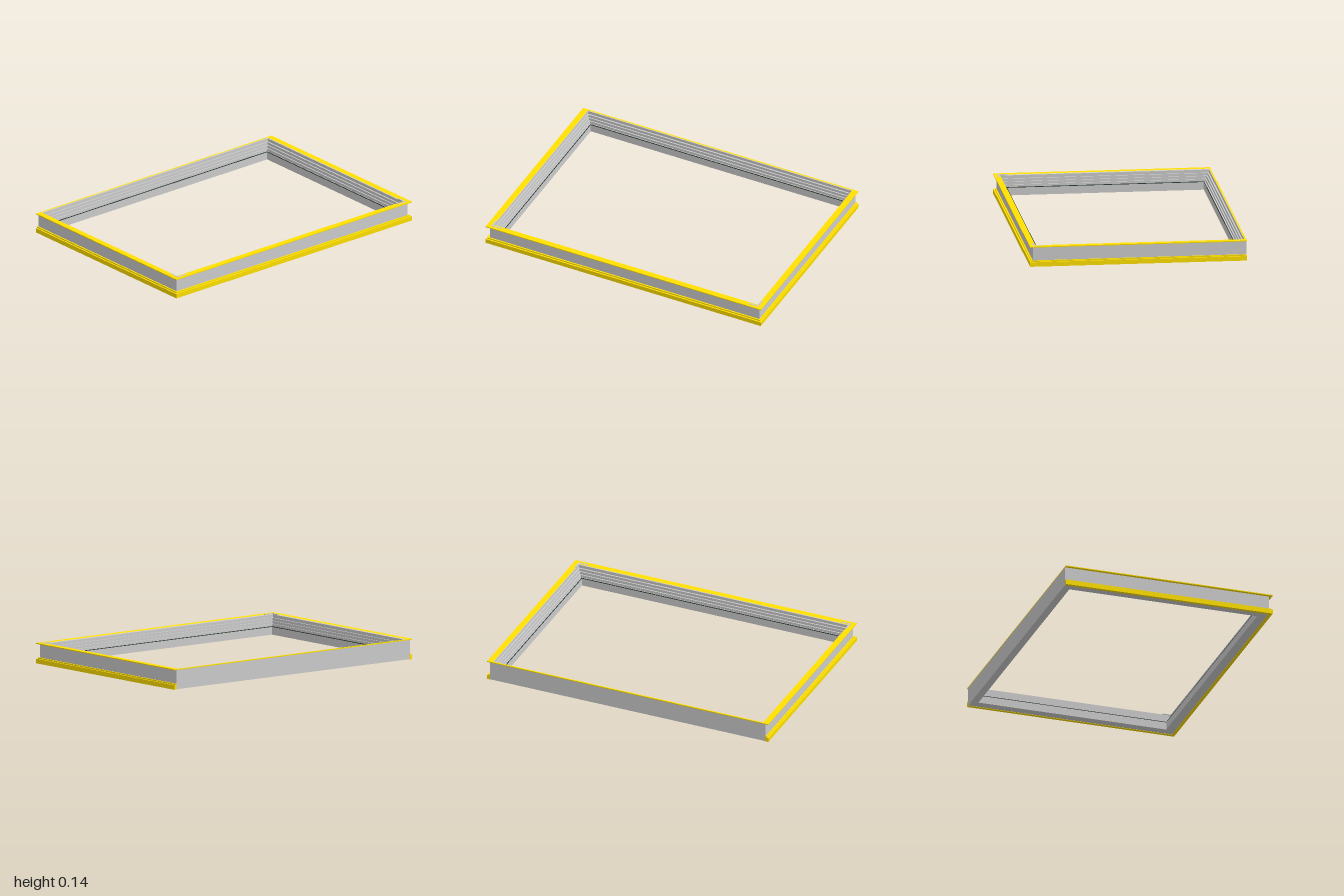
import * as THREE from 'three';

const W = 1, D = 0.71; // half width and half depth
const grey = new THREE.MeshStandardMaterial({ color: 0xcccccc, flatShading: true });
const yellow = new THREE.MeshStandardMaterial({ color: 0xffe000, flatShading: true });
const dark = new THREE.MeshStandardMaterial({ color: 0x2c3a30, flatShading: true });

// The back rail sits flush with the rear edge, so its inset is smaller.
const backInset = d => Math.max(0, d - 0.03);

// Sweeps a closed profile of [inset, height] points round the mitred rectangle.
function sweepFrame(name, profile, material) {
  const ring = ([d, y]) => [
    [W - d, y, D - d], [W - d, y, backInset(d) - D],
    [d - W, y, backInset(d) - D], [d - W, y, D - d],
  ];
  const pos = [];
  profile.forEach((p, i) => {
    const lo = ring(p), hi = ring(profile[(i + 1) % profile.length]);
    for (let j = 0; j < 4; j++) {
      const k = (j + 1) % 4;
      pos.push(...lo[j], ...lo[k], ...hi[k], ...lo[j], ...hi[k], ...hi[j]);
    }
  });
  const geo = new THREE.BufferGeometry();
  geo.setAttribute('position', new THREE.Float32BufferAttribute(pos, 3));
  geo.computeVertexNormals();
  const mesh = new THREE.Mesh(geo, material);
  mesh.name = name;
  return mesh;
}

// Extrudes a plan outline given as [x, z] points from y0 to y1.
function plate(name, points, y0, y1, material, hole) {
  const toPlan = list => list.map(([x, z]) => new THREE.Vector2(x, -z));
  const shape = new THREE.Shape(toPlan(points));
  if (hole) shape.holes.push(new THREE.Path(toPlan(hole)));
  const geo = new THREE.ExtrudeGeometry(shape, { depth: y1 - y0, bevelEnabled: false });
  geo.rotateX(-Math.PI / 2).translate(0, y0, 0);
  const mesh = new THREE.Mesh(geo, material);
  mesh.name = name;
  return mesh;
}

// U-shaped plan round the front and both sides, open at the back.
const uPlan = (outer, inner) => [
  [W - outer, -D], [W - outer, D - outer], [outer - W, D - outer], [outer - W, -D],
  [inner - W, -D], [inner - W, D - inner], [W - inner, D - inner], [W - inner, -D],
];

export function createModel() {
  const model = new THREE.Group();
  model.name = 'windowFrame';

  // Grey rails, stepped on the inside
  model.add(sweepFrame('rails', [
    [0.02, 0.002], [0.02, 0.128], [0.04, 0.128], [0.04, 0.108],
    [0.05, 0.108], [0.05, 0.09], [0.058, 0.09], [0.058, 0.072],
    [0.066, 0.072], [0.066, 0.055], [0.08, 0.055], [0.08, 0.004],
  ], grey));

  // Thin seal on the inner ledge
  model.add(sweepFrame('seal', [
    [0.076, 0.055], [0.076, 0.059], [0.08, 0.059], [0.08, 0.055],
  ], dark));

  // Stepped lower flange on three sides
  model.add(plate('lowerFlange', uPlan(0, 0.022), 0, 0.03, yellow));
  model.add(plate('lowerFlangeStep', uPlan(0.01, 0.021), 0.03, 0.038, yellow));

  // Thin top lip all round, narrow at the back
  model.add(plate('topLip',
    [[W, -D], [W, D], [-W, D], [-W, -D]], 0.128, 0.134, yellow,
    [[0.96, 0.01 - D], [0.96, D - 0.04], [-0.96, D - 0.04], [-0.96, 0.01 - D]]));

  // Corner brackets at the two front corners
  for (const s of [1, -1]) {
    const outline = [[0.97, 0.62], [0.97, 0.69], [0.9, 0.69], [0.9, 0.678], [0.958, 0.678], [0.958, 0.62]];
    model.add(plate(s > 0 ? 'leftCornerBracket' : 'rightCornerBracket',
      outline.map(([x, z]) => [s * x, z]), 0.13, 0.135, grey));
  }
  return model;
}
